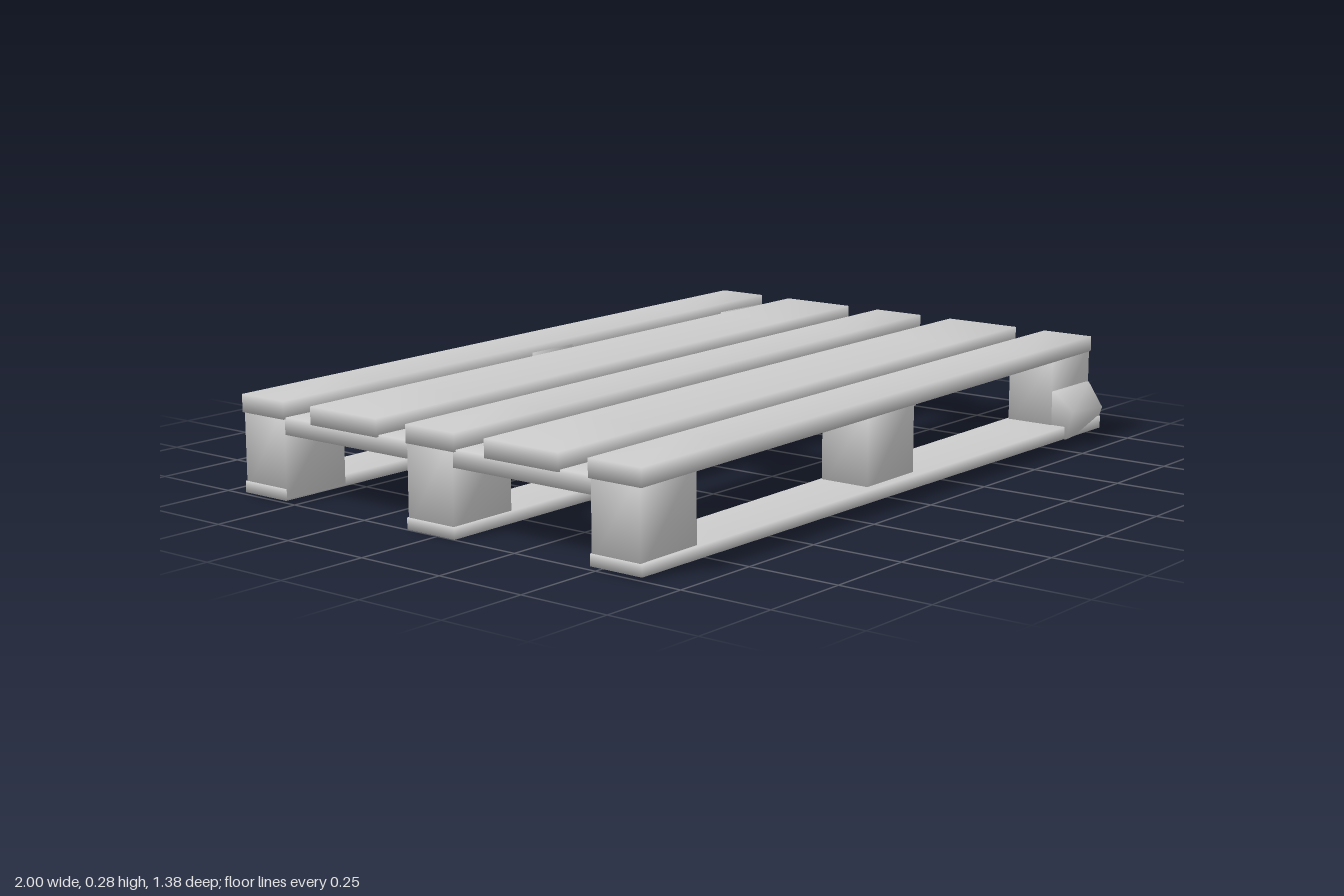
import * as THREE from 'three';
import { mergeVertices } from 'three/addons/utils/BufferGeometryUtils.js';

const material = new THREE.MeshStandardMaterial({ color: 0xcccccc });

// share corner vertices so the shading rolls softly over the edges
function soften(geometry) {
  geometry.deleteAttribute('normal');
  geometry.deleteAttribute('uv');
  const merged = mergeVertices(geometry, 1e-4);
  merged.computeVertexNormals();
  return merged;
}

// bar along x whose section [yLow, yHigh, zBack, zFront] changes from the -x end to the +x end
function bar(name, x0, x1, a, b = a, segments = 1) {
  const geometry = new THREE.BoxGeometry(1, 1, 1, segments, 1, 1);
  const p = geometry.attributes.position;
  for (let i = 0; i < p.count; i++) {
    const t = p.getX(i) + 0.5;
    const s = a.map((v, k) => THREE.MathUtils.lerp(v, b[k], t));
    p.setXYZ(i, x0 + (x1 - x0) * t, p.getY(i) < 0 ? s[0] : s[1], p.getZ(i) < 0 ? s[2] : s[3]);
  }
  const mesh = new THREE.Mesh(soften(geometry), material);
  mesh.name = name;
  return mesh;
}

export function createModel() {
  const pallet = new THREE.Group();
  pallet.name = 'pallet';

  // top deck: alternating narrow and wide slats, slightly skewed
  const slats = [[-0.683, -0.53], [-0.432, -0.2], [-0.1, 0.06], [0.158, 0.39], [0.48, 0.638]];
  slats.forEach(([z0, z1], i) => {
    pallet.add(bar('topSlat' + (i + 1), -1, 1,
      [0.215, 0.262, z0, z1], [0.235, 0.277, z0 - 0.01, z1 - 0.015], 6));
  });

  // cross boards under the deck
  const columns = [[-0.993, -0.795], [-0.1, 0.1], [0.795, 0.99]];
  columns.forEach(([x0, x1], i) => {
    const lift = (i - 1) * 0.008;
    pallet.add(bar('crossBoard' + (i + 1), x0, x1, [0.183 + lift, 0.228 + lift, -0.665, 0.62]));
  });

  // three rows of blocks, each on a runner board
  const rows = [
    { name: 'back', z0: -0.68, z1: -0.533, low: [0.005, 0.008], front: [-0.533, -0.535] },
    { name: 'middle', z0: -0.1, z1: 0.05, low: [0, 0.005], front: [0.055, 0.045] },
    { name: 'front', z0: 0.485, z1: 0.63, low: [0.008, 0.022], front: [0.637, 0.668] },
  ];
  for (const row of rows) {
    const [l, r] = row.low;
    pallet.add(bar(row.name + 'Runner', -0.998, 0.985,
      [l, l + 0.03, row.z0 - 0.003, row.front[0]], [r, r + 0.035, row.z0 - 0.008, row.front[1]], 6));
    columns.forEach(([x0, x1], i) => {
      const low = THREE.MathUtils.lerp(l, r, i / 2) + 0.006;
      pallet.add(bar(row.name + 'Block' + (i + 1), x0 - 0.002, x1 + 0.002,
        [low, 0.25, row.z0, row.z1 - i * 0.004]));
    });
  }

  // splayed foot on the front left block
  const profile = [[0.5, 0.02], [0.67, 0.02], [0.69, 0.1], [0.63, 0.15], [0.5, 0.15]];
  const shape = new THREE.Shape(profile.map(([z, y]) => new THREE.Vector2(-z, y)));
  const footGeometry = new THREE.ExtrudeGeometry(shape, { depth: 0.187, bevelEnabled: false });
  footGeometry.rotateY(Math.PI / 2);
  footGeometry.translate(0.796, 0, 0);
  const p = footGeometry.attributes.position;
  for (let i = 0; i < p.count; i++) {
    if (p.getX(i) > 0.9 && p.getZ(i) > 0.64) {
      p.setZ(i, p.getZ(i) - 0.015);
      p.setY(i, p.getY(i) * 0.75 + 0.008);
    }
  }
  const foot = new THREE.Mesh(soften(footGeometry), material);
  foot.name = 'splayedFoot';
  pallet.add(foot);

  return pallet;
}
